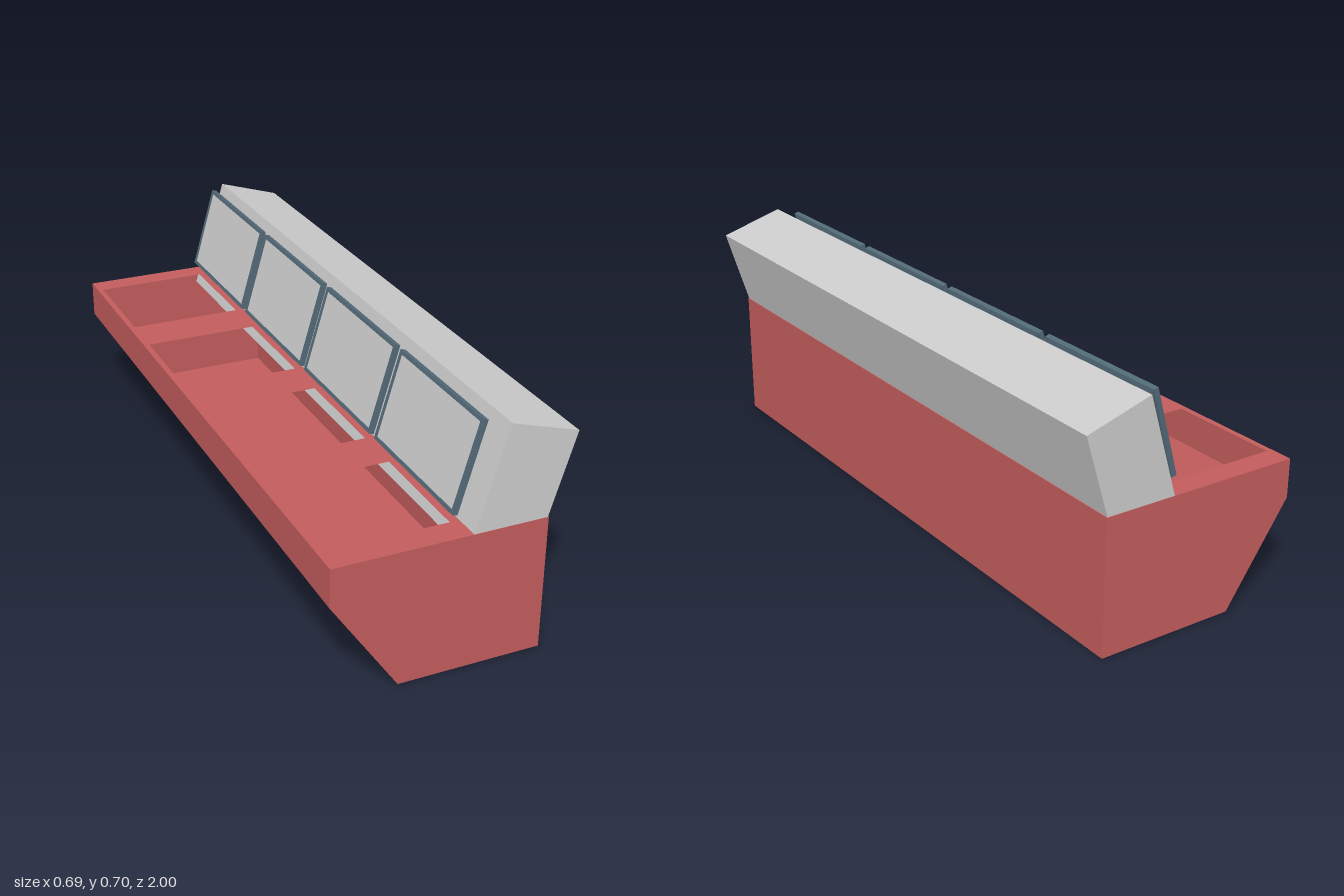
import * as THREE from 'three';

const RED = new THREE.MeshStandardMaterial({ color: 0xc25c5c, side: THREE.DoubleSide });
const GREY = new THREE.MeshStandardMaterial({ color: 0xcccccc });
const SLATE = new THREE.MeshStandardMaterial({ color: 0x526977, flatShading: true });

function add(parent, name, geometry, material) {
  const mesh = new THREE.Mesh(geometry, material);
  mesh.name = name;
  parent.add(mesh);
  return mesh;
}

function rectangle(path, x0, y0, x1, y1) {
  path.moveTo(x0, y0);
  path.lineTo(x1, y0);
  path.lineTo(x1, y1);
  path.lineTo(x0, y1);
  path.closePath();
  return path;
}

// Hollow thin-walled desk with four openings in its top
function createBase() {
  const base = new THREE.Group();
  base.name = 'base';
  const profile = [[0.275, 0.405], [-0.348, 0.405], [-0.348, 0.29], [-0.15, 0], [0.275, 0]]
    .map(([x, y]) => new THREE.Vector2(x, y));

  // End panels
  for (const side of [1, -1]) {
    const end = add(base, 'endPanel', new THREE.ShapeGeometry(new THREE.Shape(profile)), RED);
    end.position.z = side;
    end.scale.z = side;
  }

  // Long walls and floor; the first profile edge is the top
  for (let i = 1; i < profile.length; i++) {
    const a = profile[i], b = profile[(i + 1) % profile.length];
    const wall = new THREE.PlaneGeometry(a.distanceTo(b), 2);
    wall.rotateX(Math.PI / 2);
    wall.rotateZ(Math.atan2(b.y - a.y, b.x - a.x));
    wall.translate((a.x + b.x) / 2, (a.y + b.y) / 2, 0);
    add(base, 'wall', wall, RED);
  }

  // Top with openings
  const top = rectangle(new THREE.Shape(), -0.348, -1, 0.275, 1);
  for (let i = 0; i < 4; i++) {
    const z = -0.754 + 0.5 * i;
    top.holes.push(rectangle(new THREE.Path(), -0.33, -z - 0.175, 0.027, -z + 0.175));
  }
  const topGeometry = new THREE.ShapeGeometry(top);
  topGeometry.rotateX(-Math.PI / 2);
  topGeometry.translate(0, 0.405, 0);
  add(base, 'top', topGeometry, RED);
  return base;
}

// Monitor facing local -x: frame, grey panel and tapered back
function createMonitor() {
  const monitor = new THREE.Group();
  monitor.name = 'monitor';
  const halfW = 0.2275, halfH = 0.1355, thick = 0.015, rim = 0.011;

  const outline = rectangle(new THREE.Shape(), -halfW, -halfH, halfW, halfH);
  outline.holes.push(rectangle(new THREE.Path(), -halfW + rim, -halfH + rim, halfW - rim, halfH - rim));
  const frame = new THREE.ExtrudeGeometry(outline, { depth: thick, bevelEnabled: false });
  frame.translate(0, 0, -thick / 2);
  frame.rotateY(-Math.PI / 2);
  add(monitor, 'frame', frame, SLATE);

  const panel = new THREE.BoxGeometry(0.01, 2 * (halfH - rim), 2 * (halfW - rim));
  add(monitor, 'screen', panel, GREY);

  // Back housing: a box narrowed on its rear side
  const back = new THREE.BoxGeometry(0.027, 2 * halfH, 2 * halfW);
  const p = back.attributes.position;
  for (let i = 0; i < p.count; i++) {
    if (p.getX(i) > 0) {
      p.setY(i, p.getY(i) * 0.4);
      p.setZ(i, p.getZ(i) * 0.66);
    }
  }
  back.translate(thick / 2 + 0.0135, 0, 0);
  back.computeVertexNormals();
  add(monitor, 'backHousing', back, SLATE);
  return monitor;
}

export function createModel() {
  const model = new THREE.Group();
  model.name = 'controlDesk';
  model.add(createBase());

  // Tilted cabinet, its foot sunk into the base
  const cabinet = add(model, 'cabinet', new THREE.BoxGeometry(0.208, 0.37, 1.998), GREY);
  cabinet.position.set(0.192, 0.497, 0);
  cabinet.rotation.z = -0.297;

  // Row of monitors
  for (let i = 0; i < 4; i++) {
    const monitor = createMonitor();
    monitor.position.set(0.065, 0.568, -0.735 + 0.484 * i);
    monitor.rotation.z = -0.281;
    model.add(monitor);
  }
  return model;
}
